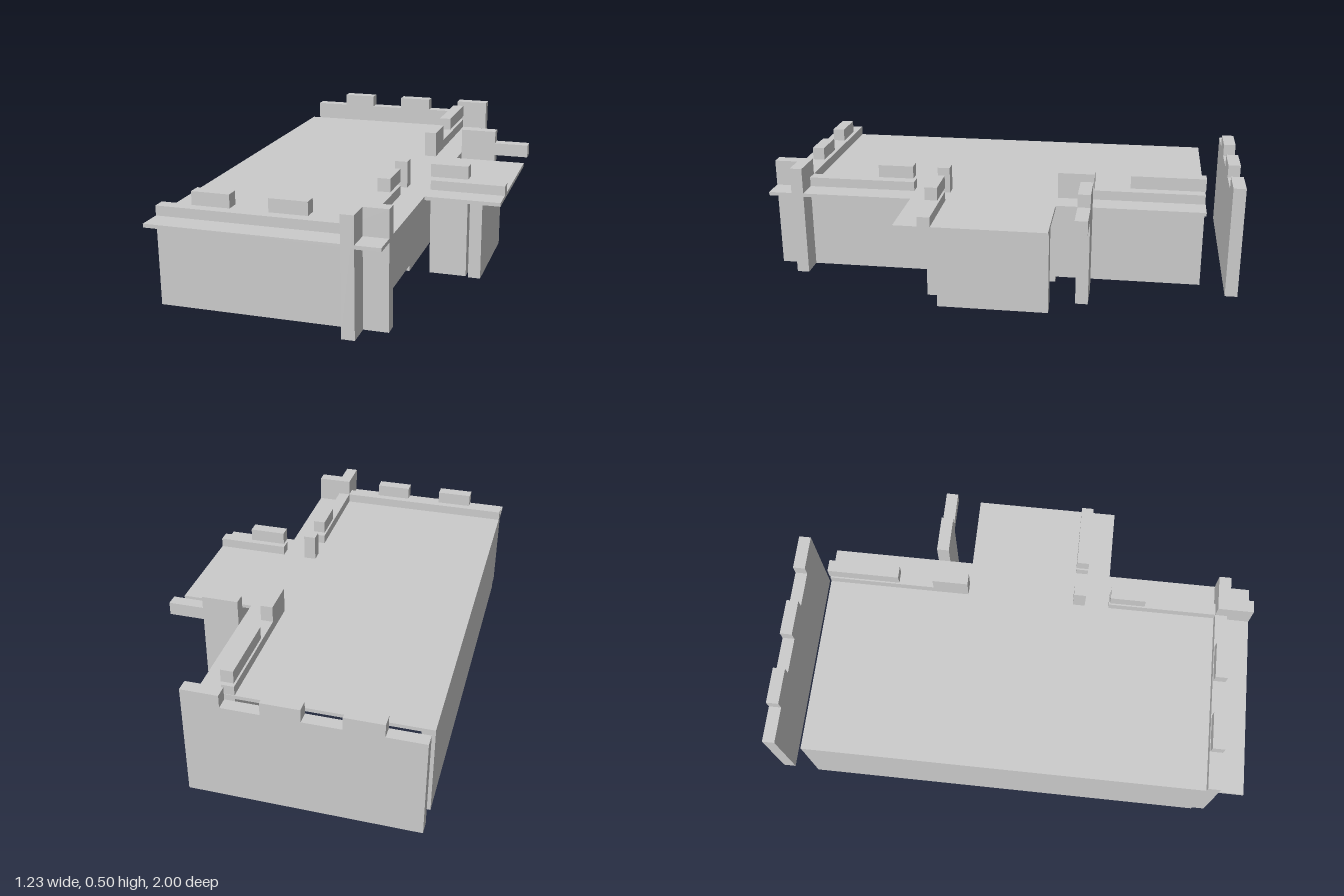
import * as THREE from 'three';

const T = 0.052; // board thickness
const material = new THREE.MeshStandardMaterial({ color: 0xcccccc, flatShading: true });

function extrude(name, points, depth) {
  const shape = new THREE.Shape(points.map(([a, b]) => new THREE.Vector2(a, b)));
  const geometry = new THREE.ExtrudeGeometry(shape, { depth, bevelEnabled: false });
  const mesh = new THREE.Mesh(geometry, material);
  mesh.name = name;
  return mesh;
}

// Upright board across the model: outline in (x, y), back face at z
function acrossBoard(name, z, points) {
  const mesh = extrude(name, points, T);
  mesh.position.z = z;
  return mesh;
}

// Upright board along the model: outline in (z, y), right-hand face at x
function alongBoard(name, x, points) {
  const mesh = extrude(name, points, T);
  mesh.rotation.y = -Math.PI / 2;
  mesh.position.x = x + T;
  return mesh;
}

const rect = (a0, a1, b0, b1) => [[a0, b0], [a1, b0], [a1, b1], [a0, b1]];

export function createModel() {
  const group = new THREE.Group();
  const low = 0.025, ceiling = 0.375, roofTop = 0.39;
  const parapet = 0.43, ledge = 0.446, top = 0.5;

  // Flat roof with a side wing
  const roof = extrude('roof', [
    [-0.615, -1], [0.305, -1], [0.305, -0.38], [0.613, -0.38],
    [0.613, 0.235], [0.305, 0.235], [0.305, 0.85], [-0.615, 0.85],
  ], roofTop - ceiling);
  roof.rotation.x = -Math.PI / 2;
  roof.position.y = ceiling;
  group.add(roof);

  // Front wall with parapet and full-height end
  group.add(acrossBoard('frontWall', 0.848, [
    [-0.615, low], [0.305, low], [0.305, top], [0.154, top],
    [0.154, parapet], [-0.615, parapet],
  ]));

  // Back wall, standing free, with battlements
  group.add(acrossBoard('backWall', -1, [
    [-0.615, low], [0.305, low], [0.305, top], [0.154, top], [0.154, ledge],
    [0, ledge], [0, top], [-0.154, top], [-0.154, ledge], [-0.308, ledge],
    [-0.308, top], [-0.462, top], [-0.462, ledge], [-0.615, ledge],
  ]));

  // Plain wall under the roof
  group.add(alongBoard('leftLongWall', -0.615, rect(-0.848, 0.848, 0, ceiling)));

  // Long wall on the wing side, crossing the front wall
  group.add(alongBoard('wingSideLongWall', 0.154, [
    [-0.848, low], [-0.23, low], [-0.23, 0], [0.23, 0], [0.23, low], [1, low],
    [1, top], [0.85, top], [0.85, parapet], [0.385, parapet], [0.385, 0.38],
    [0.28, 0.38], [0.28, top], [0.228, top], [0.228, 0.38], [-0.235, 0.38],
    [-0.235, top], [-0.388, top], [-0.388, parapet], [-0.848, parapet],
  ]));

  // Wing walls
  group.add(alongBoard('wingEndWall', 0.462, rect(-0.23, 0.23, 0, ceiling)));
  group.add(acrossBoard('wingFrontWall', 0.229, rect(0.306, 0.462, low, ceiling)));
  group.add(acrossBoard('wingFrontParapet', 0.229, rect(0.306, 0.613, roofTop, parapet)));
  group.add(acrossBoard('wingBackWall', -0.388, [
    [0.306, low], [0.462, low], [0.462, roofTop], [0.613, roofTop],
    [0.613, ledge], [0.462, ledge], [0.462, top], [0.306, top],
  ]));

  // Merlons held slightly above the parapets
  for (const x of [-0.462, -0.154])
    group.add(acrossBoard('frontMerlon', 0.848, rect(x, x + 0.154, ledge, top)));
  group.add(acrossBoard('wingMerlon', 0.229, rect(0.306, 0.462, ledge, top)));
  for (const [z0, z1] of [[0.387, 0.538], [-0.848, -0.538]])
    group.add(alongBoard('sideMerlon', 0.154, rect(z0, z1, ledge, top)));

  return group;
}
